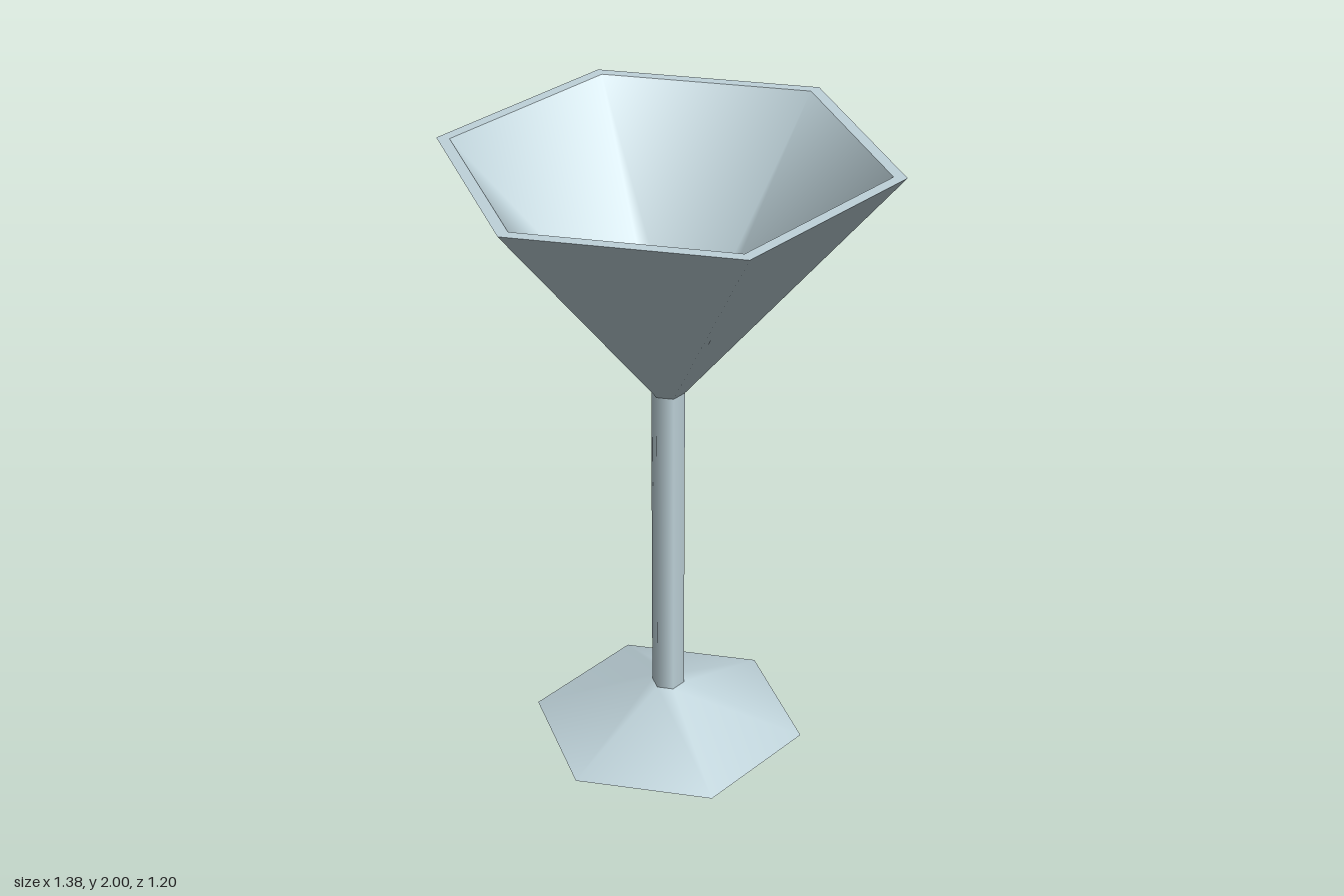
import * as THREE from 'three';

export function createModel() {
  const glass = new THREE.MeshStandardMaterial({ color: 0xbfd3da });
  glass.name = 'pale blue glass';

  const model = new THREE.Group();
  model.name = 'cocktailGlass';

  // Closed profile as [radius, y], walked from the foot up, over the rim and into the bowl.
  const profile = [
    [0, 0],
    [0.438, 0],
    [0.052, 0.155],
    [0.052, 1.23],
    [0.69, 2],
    [0.65, 2],
    [0.067, 1.3],
    [0, 1.3],
  ];
  const names = ['footUnderside', 'footTop', 'stem', 'bowlOutside', 'rim', 'bowlInside', 'bowlFloor'];

  // Each band is its own six-sided lathe: smooth around, crisp between bands.
  names.forEach((name, i) => {
    const points = [profile[i], profile[i + 1]].map(([r, y]) => new THREE.Vector2(r, y));
    const mesh = new THREE.Mesh(new THREE.LatheGeometry(points, 6, Math.PI / 2), glass);
    mesh.name = name;
    model.add(mesh);
  });

  return model;
}
